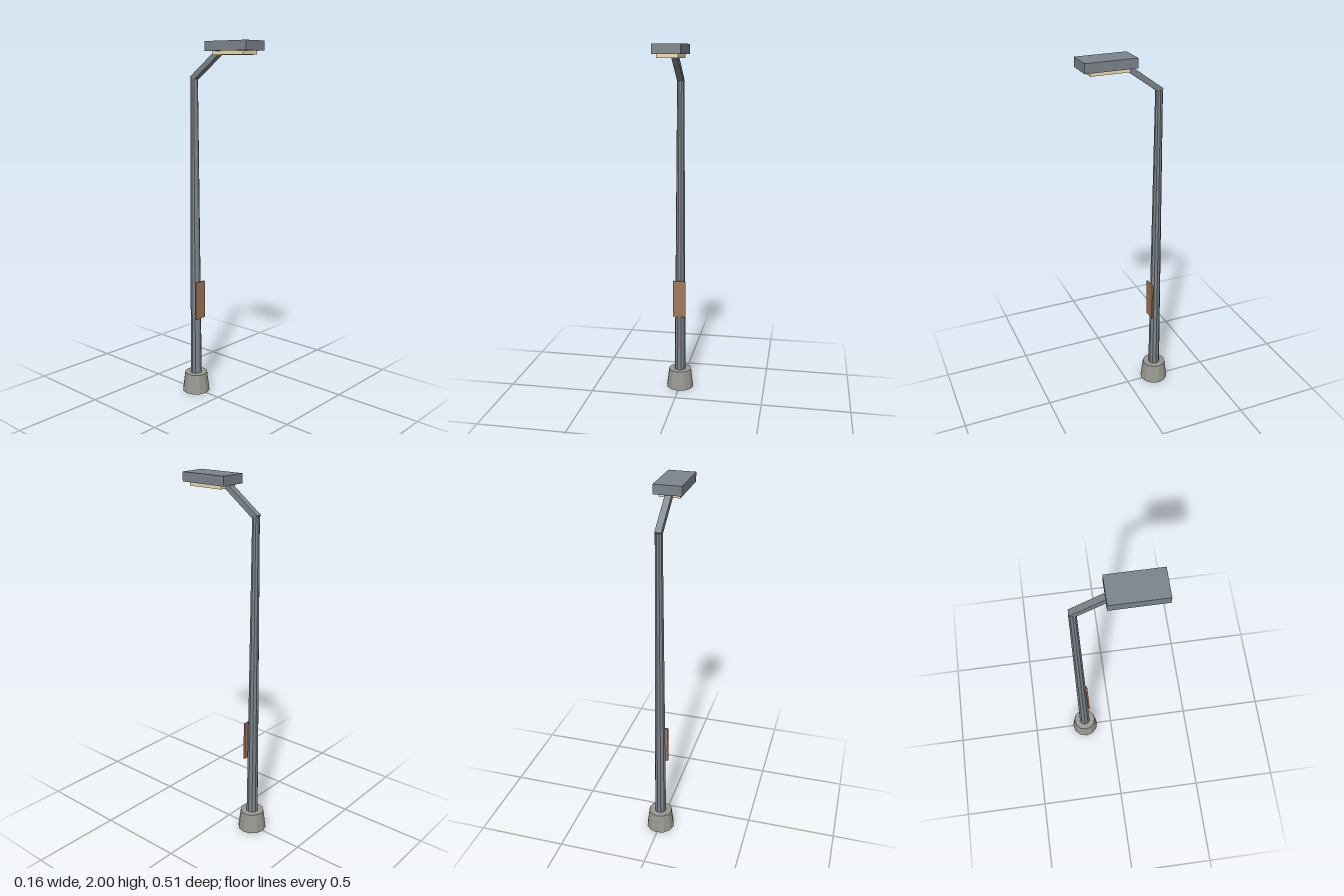
import * as THREE from 'three';

const POLE_Z = -0.173;

const material = (color) => new THREE.MeshStandardMaterial({ color, flatShading: true });

export function createModel() {
  const model = new THREE.Group();
  model.name = 'streetLamp';

  const steel = material(0x7d848c);
  const concrete = material(0x999992);
  const glow = material(0xeed9b0);
  const rust = material(0xa0765a);

  const add = (name, geometry, mat, x, y, z) => {
    const mesh = new THREE.Mesh(geometry, mat);
    mesh.name = name;
    mesh.position.set(x, y, z);
    model.add(mesh);
    return mesh;
  };

  // Tapered footing
  add('base', new THREE.CylinderGeometry(0.066, 0.08, 0.112, 12), concrete, 0, 0.056, POLE_Z);

  // Tapered pole, standing in the footing
  const pole = add('pole', new THREE.CylinderGeometry(0.02, 0.033, 1.71, 10), steel, 0, 0.955, POLE_Z);
  pole.rotation.y = Math.PI / 2;

  // Sloping arm between the pole top and the lamp head
  const from = new THREE.Vector3(0, 1.805, -0.182);
  const to = new THREE.Vector3(0, 1.945, 0.01);
  const middle = from.clone().add(to).multiplyScalar(0.5);
  const arm = add('arm', new THREE.BoxGeometry(0.034, 0.03, from.distanceTo(to)), steel, 0, middle.y, middle.z);
  arm.rotation.x = -Math.atan2(to.y - from.y, to.z - from.z);

  // Lamp head with its light panel underneath
  add('lampHead', new THREE.BoxGeometry(0.148, 0.05, 0.278), steel, 0, 1.975, 0.114);
  add('lightPanel', new THREE.BoxGeometry(0.112, 0.024, 0.21), glow, 0, 1.942, 0.114);

  // Plate on the front of the pole
  add('accessPlate', new THREE.BoxGeometry(0.073, 0.218, 0.009), rust, 0, 0.558, -0.14);

  return model;
}
